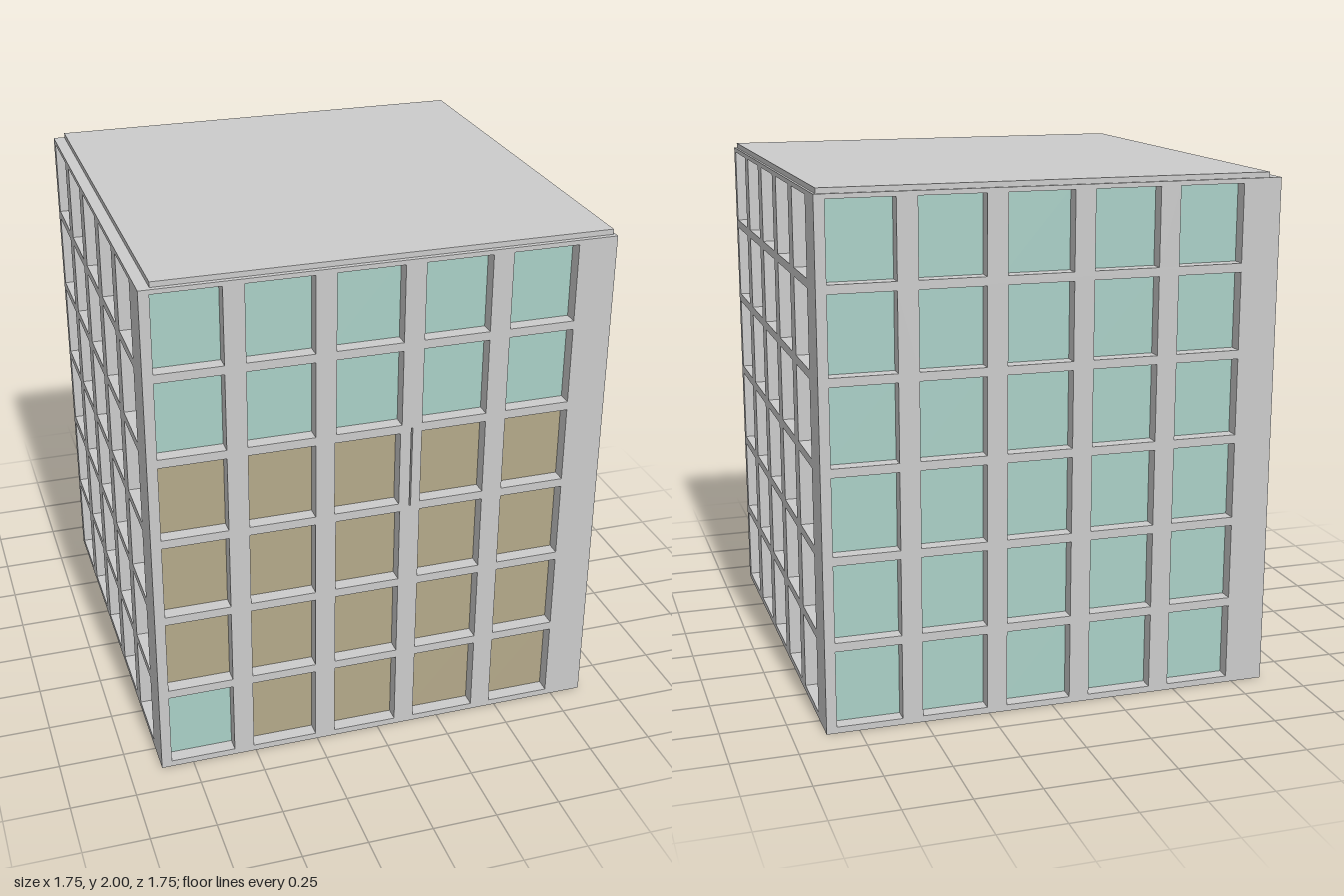
import * as THREE from 'three';

const HALF = 0.874, THICK = 0.1, RECESS = 0.055, TOP = 1.98;
const COLS = 5, ROWS = 6, PITCH_X = 0.3275, PITCH_Y = 0.3286;
const WIN_W = 0.25, WIN_H = 0.295;
const colX = (c) => -0.71 + c * PITCH_X;
const rowY = (r) => 0.172 + r * PITCH_Y;

function rect(target, x0, y0, x1, y1) {
  target.moveTo(x0, y0);
  target.lineTo(x1, y0);
  target.lineTo(x1, y1);
  target.lineTo(x0, y1);
  target.closePath();
  return target;
}

export function createModel() {
  const model = new THREE.Group();
  model.name = 'building';

  const grey = new THREE.MeshStandardMaterial({ color: 0xcccccc });
  const teal = new THREE.MeshStandardMaterial({ color: 0xaad0c7 });
  const brown = new THREE.MeshStandardMaterial({ color: 0xb4a98a });

  const add = (parent, name, geometry, material, x = 0, y = 0, z = 0) => {
    const mesh = new THREE.Mesh(geometry, material);
    mesh.name = name;
    mesh.position.set(x, y, z);
    parent.add(mesh);
    return mesh;
  };

  // One wall facing +z; it stops short at +x, where the next wall's end shows
  function makeWall(name, isFront) {
    const wall = new THREE.Group();
    wall.name = name;
    const right = HALF - THICK, length = HALF + right, midX = (right - HALF) / 2;
    const shift = (c, r) => (isFront && c === 2 && r === 3 ? -0.005 : 0);

    // Window grid
    const shape = rect(new THREE.Shape(), -HALF, 0, right, TOP);
    for (let c = 0; c < COLS; c++) {
      for (let r = 0; r < ROWS; r++) {
        const x = colX(c) + shift(c, r), y = rowY(r);
        shape.holes.push(rect(new THREE.Path(),
          x - WIN_W / 2, y - WIN_H / 2, x + WIN_W / 2, y + WIN_H / 2));
      }
    }
    // Narrow joint beside the slightly displaced front cell
    if (isFront) shape.holes.push(rect(new THREE.Path(), 0.106, 0.997, 0.112, 1.322));
    add(wall, 'windowFrame',
      new THREE.ExtrudeGeometry(shape, { depth: RECESS, bevelEnabled: false }),
      grey, 0, 0, HALF - RECESS);

    // Solid backing, flush with the inside of the wall
    const back = THICK - RECESS;
    add(wall, 'wallBacking', new THREE.BoxGeometry(length, TOP, back), grey,
      midX, TOP / 2, HALF - RECESS - back / 2);

    // Window panes
    const paneGeometry = new THREE.PlaneGeometry(WIN_W, WIN_H);
    for (let c = 0; c < COLS; c++) {
      for (let r = 0; r < ROWS; r++) {
        const isBrown = isFront && r < 4 && !(r === 0 && c === 0);
        add(wall, 'windowPane', paneGeometry, isBrown ? brown : teal,
          colX(c) + shift(c, r), rowY(r), HALF - RECESS + 0.001);
      }
    }
    return wall;
  }

  // Four walls in a pinwheel
  const names = ['frontWall', 'leftWall', 'backWall', 'rightWall'];
  const walls = names.map((name, i) => {
    const wall = makeWall(name, i === 0);
    wall.rotation.y = i * Math.PI / 2;
    model.add(wall);
    return wall;
  });

  // Two cells whose panes show on the inside
  const innerPane = new THREE.BoxGeometry(PITCH_X, PITCH_Y, 0.004);
  for (const [wall, c, r] of [[walls[0], 0, 0], [walls[3], 2, 1]]) {
    add(wall, 'innerPane', innerPane, teal, colX(c), rowY(r), HALF - THICK);
  }

  // Roof slab, set slightly off centre
  add(model, 'roof', new THREE.BoxGeometry(1.695, 0.02, 1.72), grey, 0.0175, 1.99, -0.005);

  return model;
}
